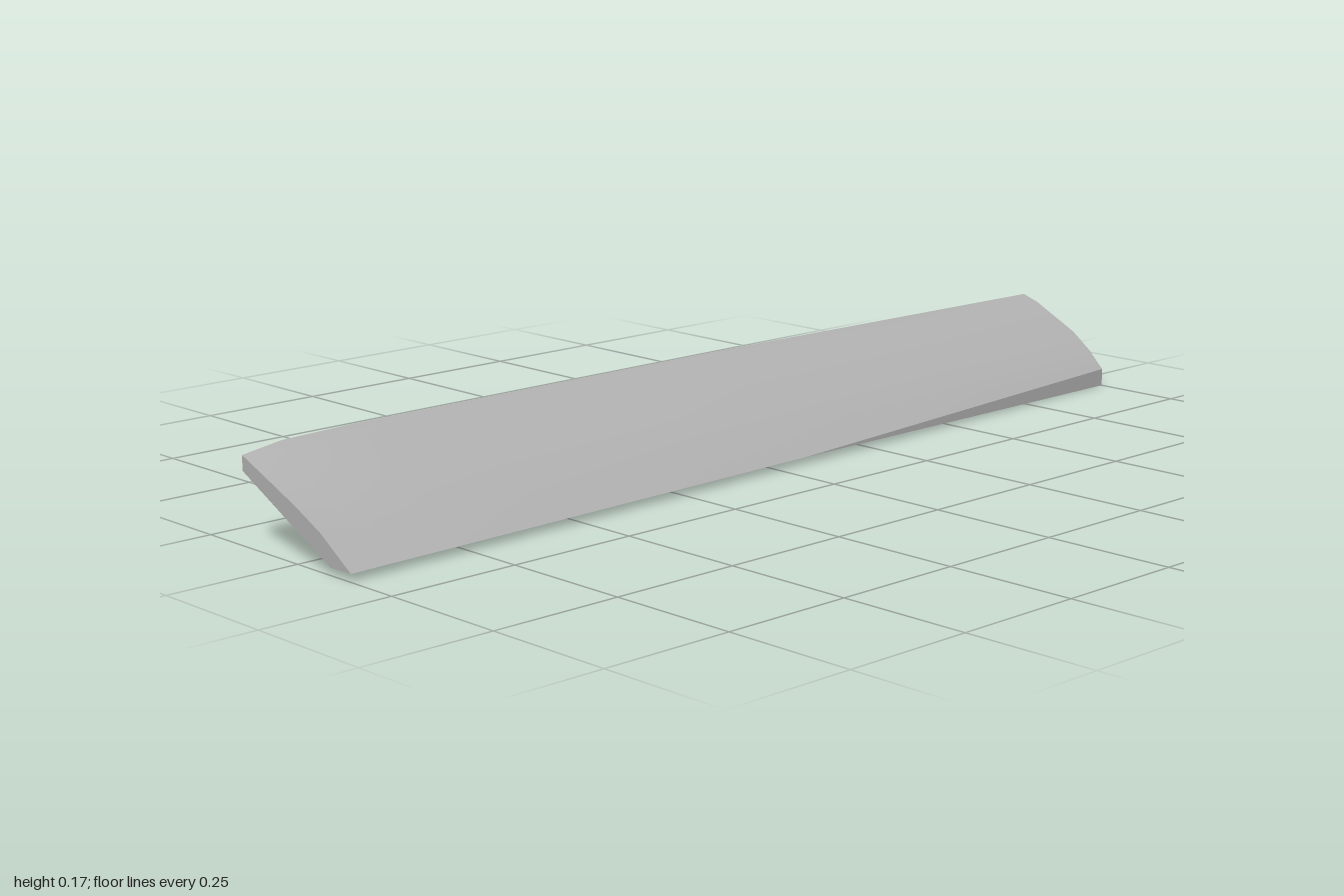
import * as THREE from 'three';
import { toCreasedNormals } from 'three/addons/utils/BufferGeometryUtils.js';

// Cross-sections from front to back. Each outline [x, y] runs over the upper
// skin from left to right, then back along the underside.
const L = -0.147;
const stations = [
  { z: 1, pts: [[L, 0.157], [-0.1, 0.138], [0, 0.097], [0.065, 0.066], [0.145, 0.014],
    [0.09, 0.0135], [-0.03, 0.072], [L, 0.13]] },
  { z: 0.92, pts: [[L, 0.169], [-0.115, 0.157], [0, 0.1], [0.065, 0.066], [0.142, 0.014],
    [0.089, 0.013], [-0.06, 0.05], [L, 0.114]] },
  { z: 0.77, pts: [[L, 0.173], [-0.12, 0.167], [0, 0.102], [0.065, 0.066], [0.138, 0.014],
    [0.088, 0.0125], [-0.05, 0.05], [L, 0.083]] },
  { z: -0.07, pts: [[L, 0.174], [-0.12, 0.167], [0, 0.103], [0.06, 0.064], [0.112, 0.014],
    [0.079, 0.0075], [-0.044, 0.045], [L, 0.108]] },
  { z: -1, pts: [[L, 0.166], [-0.11, 0.154], [-0.01, 0.104], [0.035, 0.07], [0.07, 0.035],
    [0.07, 0], [-0.04, 0.068], [L, 0.135]] },
];

// Skin lofted through the sections, closed by a cap at each end
function bladeGeometry() {
  const n = stations[0].pts.length;
  const last = stations.length - 1;
  const pos = stations.flatMap(({ z, pts }) => pts.flatMap(([x, y]) => [x, y, z]));
  const index = [];
  for (let i = 0; i < last; i++) {
    for (let j = 0; j < n; j++) {
      const k = (j + 1) % n;
      const a = i * n + j, b = i * n + k, c = b + n, d = a + n;
      index.push(a, b, c, a, c, d);
    }
  }
  for (const s of [0, last]) {
    const outline = stations[s].pts.map(([x, y]) => new THREE.Vector2(x, y)).reverse();
    for (const tri of THREE.ShapeUtils.triangulateShape(outline, [])) {
      const ids = tri.map((t) => s * n + (n - 1 - t));
      index.push(...(s === 0 ? ids : ids.reverse()));
    }
  }
  const g = new THREE.BufferGeometry();
  g.setAttribute('position', new THREE.Float32BufferAttribute(pos, 3));
  g.setIndex(index);
  return toCreasedNormals(g, THREE.MathUtils.degToRad(28));
}

export function createModel() {
  const group = new THREE.Group();
  group.name = 'taperedPanel';
  const grey = new THREE.MeshStandardMaterial({ color: 0xb0b0b0 });
  grey.name = 'light grey';
  const blade = new THREE.Mesh(bladeGeometry(), grey);
  blade.name = 'blade';
  group.add(blade);
  return group;
}
